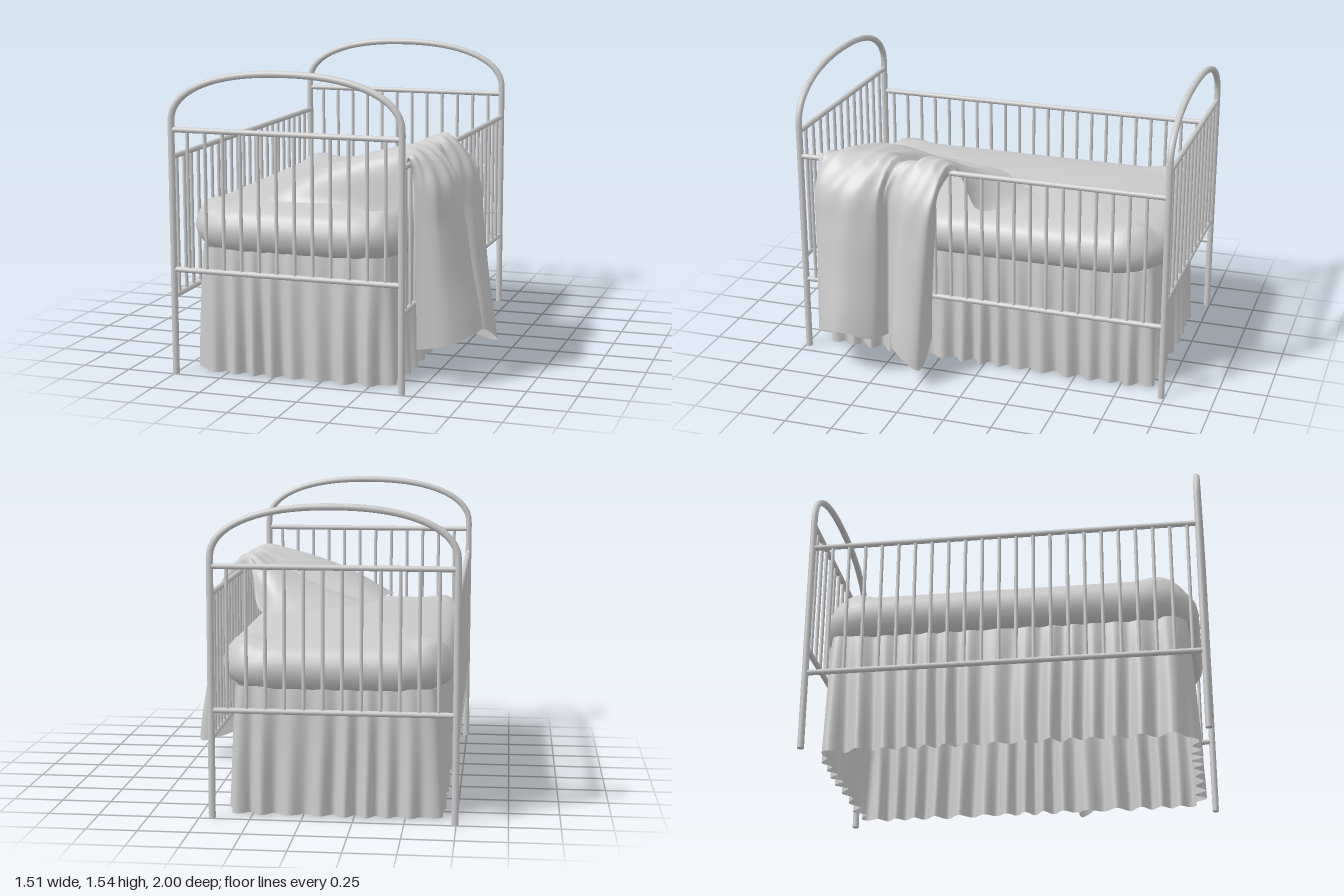
import * as THREE from 'three';
import { mergeVertices } from 'three/addons/utils/BufferGeometryUtils.js';

const CX = -0.154, HX = 0.591, HZ = 0.983; // frame centre and half spans
const metal = new THREE.MeshStandardMaterial({ color: 0xcccccc });
const cloth = new THREE.MeshStandardMaterial({ color: 0xcccccc, side: THREE.DoubleSide });
const V = (x, y, z) => new THREE.Vector3(x, y, z);

function add(parent, name, geometry, material) {
  const mesh = new THREE.Mesh(geometry, material);
  mesh.name = name;
  parent.add(mesh);
  return mesh;
}

// Round bar between two points
function rod(parent, name, a, b, r) {
  const mesh = add(parent, name, new THREE.CylinderGeometry(r, r, a.distanceTo(b), 14), metal);
  mesh.position.copy(a).lerp(b, 0.5);
  mesh.quaternion.setFromUnitVectors(V(0, 1, 0), b.clone().sub(a).normalize());
}

// Smooth surface from rows of points; closed rows wrap round
function skin(rows, closed) {
  const n = rows[0].length, index = [];
  for (let i = 0; i < rows.length - 1; i++) {
    for (let j = 0; j < (closed ? n : n - 1); j++) {
      const k = (j + 1) % n, a = i * n + j, b = i * n + k, c = a + n, d = b + n;
      index.push(a, c, b, b, c, d);
    }
  }
  let g = new THREE.BufferGeometry().setFromPoints(rows.flat());
  g.setIndex(index);
  g = mergeVertices(g, 1e-5);
  g.computeVertexNormals();
  return g;
}

// Evenly spaced points round a rectangle with rounded corners
function outline(hx, hz, r, n) {
  const p = new THREE.Path();
  p.moveTo(hx, 0);
  p.lineTo(hx, hz - r);
  p.absarc(hx - r, hz - r, r, 0, Math.PI / 2);
  p.absarc(-hx + r, hz - r, r, Math.PI / 2, Math.PI);
  p.absarc(-hx + r, -hz + r, r, Math.PI, Math.PI * 1.5);
  p.absarc(hx - r, -hz + r, r, Math.PI * 1.5, Math.PI * 2);
  p.lineTo(hx, 0);
  return p.getSpacedPoints(n).slice(0, n);
}

// Arched end: bent tube, two rails and bars
function bedEnd(z, name) {
  const g = new THREE.Group();
  g.name = name;
  const pts = [0, 0.4, 0.8, 1.1, 1.2].map(y => V(CX - HX, y, z));
  for (let i = 0; i <= 32; i++) {
    const t = Math.PI * (1 - i / 32), c = Math.cos(t), e = 2 / 2.25;
    pts.push(V(CX + HX * Math.sign(c) * Math.abs(c) ** e, 1.27 + 0.253 * Math.abs(Math.sin(t)) ** e, z));
  }
  [1.2, 1.1, 0.8, 0.4, 0].forEach(y => pts.push(V(CX + HX, y, z)));
  add(g, 'archedPosts', new THREE.TubeGeometry(new THREE.CatmullRomCurve3(pts), 160, 0.017, 14), metal);
  for (const s of [-1, 1]) {
    const x = CX + s * HX;
    rod(g, 'foot', V(x, 0, z), V(x, 0.03, z), 0.0172);
  }
  for (const y of [0.535, 1.235]) rod(g, 'endRail', V(CX - HX, y, z), V(CX + HX, y, z), 0.014);
  for (let i = 0; i < 12; i++) {
    const x = -0.66 + i * 0.0925;
    rod(g, 'endBar', V(x, 0.535, z), V(x, 1.235, z), 0.009);
  }
  return g;
}

// Long side: two rails and bars
function bedSide(x, name) {
  const g = new THREE.Group();
  g.name = name;
  for (const y of [0.4, 1.1]) rod(g, 'sideRail', V(x, y, -HZ), V(x, y, HZ), 0.014);
  for (let i = 0; i < 22; i++) {
    const z = -0.876 + i * 0.0858;
    rod(g, 'sideBar', V(x, 0.4, z), V(x, 1.1, z), 0.009);
  }
  return g;
}

// Padded mattress with slightly raised corners; rings shrink to a point
function mattress() {
  const hx = 0.577, hz = 0.958;
  const loop = outline(hx, hz, 0.27, 240);
  const profile = [[hx, 0.63], [0.1, 0.624], [0.06, 0.628], [0.03, 0.65], [0.009, 0.685], [0, 0.73], [0.008, 0.772],
    [0.028, 0.806], [0.055, 0.83], [0.1, 0.847], [0.15, 0.857], [0.2, 0.866], [0.28, 0.877], [0.38, 0.886],
    [0.48, 0.891], [hx, 0.893]];
  const rows = profile.map(([inset, y]) => loop.map(p => {
    const corner = THREE.MathUtils.smoothstep(Math.min(Math.abs(p.x) / hx, Math.abs(p.y) / hz), 0.72, 0.87);
    const lift = 0.035 * corner * Math.exp(-(((inset - 0.06) / 0.05) ** 2)) * (y > 0.78 ? 1 : 0);
    const insetZ = inset + (hz - hx) * (inset / hx) ** 2;
    return V(CX + p.x * (1 - inset / hx), y + lift, p.y * (1 - insetZ / hz));
  }));
  return skin(rows, true);
}

// Gathered skirt whose folds deepen toward the hem
function skirt() {
  const n = 720, loop = outline(0.493, 0.895, 0.07, n), rows = [];
  for (let i = 0; i <= 10; i++) {
    const t = i / 10;
    rows.push(loop.map((p, j) => {
      const a = j / n * Math.PI * 2;
      const tan = loop[(j + 4) % n].clone().sub(loop[(j + n - 4) % n]).normalize();
      const fold = Math.sin(46 * a + 1.3 * Math.sin(7 * a) + 0.5 * Math.sin(3 * a + 2 * t));
      const size = 0.8 + 0.2 * Math.sin(11 * a + 1);
      const out = 0.02 * Math.sqrt(t) + fold * size * (0.007 + 0.023 * t);
      return V(CX + p.x + tan.y * out, 0.64 - 0.633 * t, p.y - tan.x * out);
    }));
  }
  return skin(rows, true);
}

// Blanket lying on the bed, gathered over the side rail and hanging outside.
// Each row runs across the width, from the back corner to the front edge.
function blanket() {
  const onBed = [
    [[0.15, 0.9, -0.26], [-0.02, 0.905, -0.08], [-0.19, 0.905, 0.09], [-0.25, 0.9, 0.26],
      [-0.285, 0.9, 0.42], [-0.305, 0.895, 0.6], [-0.325, 0.88, 0.76], [-0.325, 0.872, 0.82]],
    [[0.26, 0.89, -0.13], [0.18, 0.975, 0], [0.04, 0.99, 0.16], [0, 0.95, 0.33],
      [-0.02, 1.01, 0.45], [-0.04, 1.04, 0.6], [-0.03, 1.02, 0.76], [0.05, 0.88, 0.82]],
    [[0.36, 0.885, 0.03], [0.33, 1.08, 0.1], [0.31, 1.12, 0.23], [0.3, 1.05, 0.37],
      [0.3, 1.12, 0.46], [0.3, 1.14, 0.6], [0.31, 1.12, 0.77], [0.35, 0.87, 0.83]],
    [[0.425, 1.11, 0.12], [0.44, 1.15, 0.17], [0.44, 1.16, 0.28], [0.44, 1.13, 0.41],
      [0.44, 1.155, 0.48], [0.44, 1.145, 0.6], [0.44, 1.145, 0.79], [0.435, 1.13, 0.87]],
  ].map(row => row.map(p => V(...p)));
  // Hanging part: one cross-section that spreads outward on the way down
  const out = [0.06, 0.9, 0.84, 0.4, 0.75, 1, 0.62, 0.05];
  const zs = [0.25, 0.24, 0.38, 0.455, 0.5, 0.68, 0.825, 0.855];
  const hem = [0.17, 0.1, 0.19, 0.21, 0.22, 0.27, 0.22, 0.19];
  const hanging = [[0.14, 0.1], [0.195, 0.36], [0.235, 0.65], [0.275, 0.88], [0.29, 1]].map(([reach, t]) =>
    out.map((o, c) => V(0.46 + reach * o, 1.1 + (hem[c] - 1.1) * t,
      zs[c] - 0.06 * (1 - t) ** 2 * (c < 3 ? 1 : 0) + 0.02 * (1 - t) * (c > 5 ? 1 : 0))));
  const net = [...onBed, ...hanging];
  const columns = net[0].map((_, c) => new THREE.CatmullRomCurve3(net.map(row => row[c])));
  const rows = [], nu = 90, nv = 84;
  for (let i = 0; i <= nu; i++) {
    const u = i / nu;
    const across = new THREE.CatmullRomCurve3(columns.map(c => c.getPoint(u)));
    const row = [];
    for (let j = 0; j <= nv; j++) {
      const v = j / nv, p = across.getPoint(v);
      // fine gathers, strongest at the rail
      const gather = 0.008 * Math.exp(-(((u - 0.4) / 0.17) ** 2)) * Math.sin(v * 62 + 3 * Math.sin(u * 7));
      p.y += gather * (u < 0.42 ? 1 : 0.4);
      p.x += gather * 0.8 * THREE.MathUtils.smoothstep(u, 0.42, 0.5);
      row.push(p);
    }
    rows.push(row);
  }
  return skin(rows, false);
}

export function createModel() {
  const model = new THREE.Group();
  model.name = 'crib';
  model.add(bedEnd(HZ, 'frontEnd'), bedEnd(-HZ, 'backEnd'));
  model.add(bedSide(CX + HX, 'leftSide'), bedSide(CX - HX, 'rightSide'));
  add(model, 'mattress', mattress(), cloth);
  add(model, 'skirt', skirt(), cloth);
  add(model, 'blanket', blanket(), cloth);
  return model;
}
